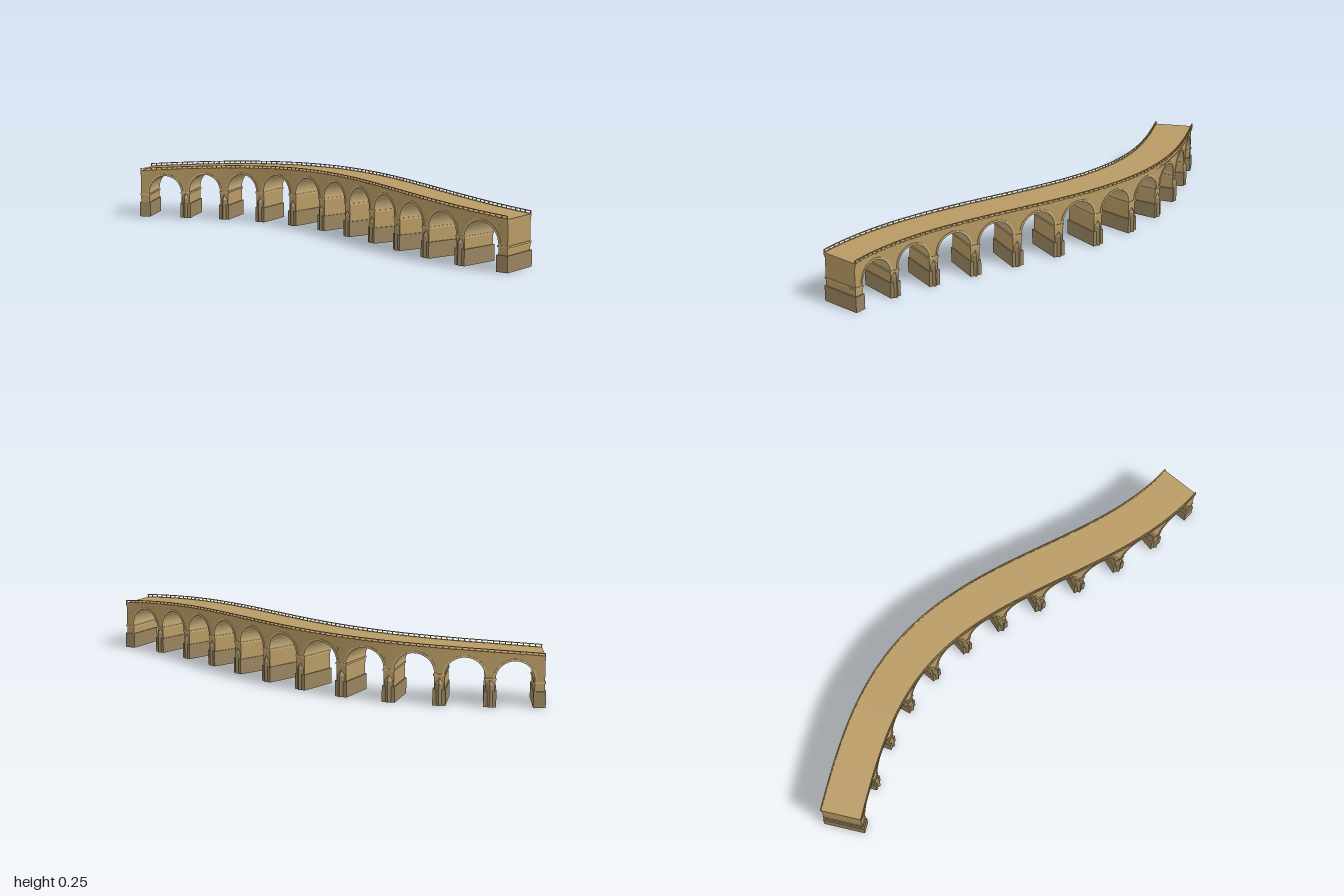
import * as THREE from 'three';
import { mergeGeometries } from 'three/addons/utils/BufferGeometryUtils.js';
import { ConvexGeometry } from 'three/addons/geometries/ConvexGeometry.js';

const stone = new THREE.MeshStandardMaterial({ name: 'sandstone', color: 0xb89a64 });
const pale = new THREE.MeshStandardMaterial({ name: 'paleStone', color: 0xc8ae7a });
const dark = new THREE.MeshStandardMaterial({ name: 'footingStone', color: 0x98845f });

// Winding centre line of the viaduct
const path = new THREE.CatmullRomCurve3(Array.from({ length: 41 }, (_, i) => {
  const x = -0.966 + (1.962 * i) / 40;
  return new THREE.Vector3(x, 0, -0.195 * Math.cos((Math.PI * (x + 0.31)) / 1.335));
}));
path.arcLengthDivisions = 800;
const LENGTH = path.getLength();
const BAYS = 11;
const PIER = 0.019; // half thickness of a pier
const FOOT = 0.0235; // half thickness of a footing
const PITCH = (LENGTH - 2 * FOOT) / BAYS;
const RADIUS = PITCH / 2 - PIER;
const START = FOOT - PIER, END = LENGTH - START;
const WALL = 0.078; // half width of the walls

// Distance along the path, height, sideways offset -> position
function place(s, y, o) {
  const u = THREE.MathUtils.clamp(s / LENGTH, 0, 1);
  const p = path.getPointAt(u), t = path.getTangentAt(u);
  return new THREE.Vector3(p.x - t.z * o, y, p.z + t.x * o);
}

// Gently humped roadway height
function deckY(s) {
  const x = path.getPointAt(THREE.MathUtils.clamp(s / LENGTH, 0, 1)).x;
  return 0.236 - 0.041 * x * x;
}

// Solid strip through [sLow, yLow, sHigh, yHigh] sections, between two offsets
function loft(sections, o0, o1) {
  const pos = [];
  const quad = (a, b, c, d) => [a, b, c, a, c, d].forEach((v) => pos.push(v.x, v.y, v.z));
  const rows = sections.map(([sa, ya, sb, yb]) => ({
    a0: place(sa, ya, o0), a1: place(sa, ya, o1),
    b0: place(sb, yb, o0), b1: place(sb, yb, o1),
  }));
  for (let i = 0; i < rows.length - 1; i++) {
    const p = rows[i], q = rows[i + 1];
    quad(p.a1, q.a1, q.b1, p.b1);
    quad(q.a0, p.a0, p.b0, q.b0);
    quad(p.b1, q.b1, q.b0, p.b0);
    quad(p.a0, q.a0, q.a1, p.a1);
  }
  const f = rows[0], l = rows[rows.length - 1];
  quad(f.a0, f.a1, f.b1, f.b0);
  quad(l.a1, l.a0, l.b0, l.b1);
  const g = new THREE.BufferGeometry();
  g.setAttribute('position', new THREE.Float32BufferAttribute(pos, 3));
  g.computeVertexNormals();
  return g;
}

// Block standing on the path
const block = (s, half, y0, y1, o0, o1) =>
  loft([[s - half, y0, s - half, y1], [s + half, y0, s + half, y1]], o0, o1);

// Band following the roadway over its whole length
function band(low, high, o0, o1, n = 110) {
  const rows = [];
  for (let i = 0; i <= n; i++) {
    const s = START + ((END - START) * i) / n, y = deckY(s);
    rows.push([s, y + low, s, y + high]);
  }
  return loft(rows, o0, o1);
}

export function createModel() {
  const model = new THREE.Group();
  model.name = 'viaduct';
  const add = (name, geometries, material) => {
    const mesh = new THREE.Mesh(mergeGeometries(geometries), material);
    mesh.name = name;
    model.add(mesh);
  };

  // Piers, footings, imposts and cutwaters
  const piers = [], footings = [], imposts = [], cutwaters = [];
  for (let i = 0; i <= BAYS; i++) {
    const s = FOOT + i * PITCH, y = deckY(s), spring = y - 0.1;
    piers.push(block(s, PIER, 0.06, y - 0.012, -WALL, WALL));
    footings.push(block(s, FOOT, 0, 0.0625, -0.083, 0.083));
    imposts.push(block(s, PIER + 0.003, spring - 0.007, spring, -0.081, 0.081));
    if (i === 0 || i === BAYS) continue;
    for (const side of [-1, 1]) {
      const points = [place(s, 0.107, side * (WALL - 0.001))];
      for (const y0 of [0, 0.085]) {
        points.push(place(s - 0.017, y0, side * (WALL - 0.001)),
          place(s + 0.017, y0, side * (WALL - 0.001)), place(s, y0, side * 0.091));
      }
      cutwaters.push(new ConvexGeometry(points));
    }
  }
  add('piers', piers, stone);
  add('footings', footings, dark);
  add('imposts', imposts, pale);
  add('cutwaters', cutwaters, dark);

  // Arch barrels with the spandrel walls above them
  const arches = [], spandrels = [];
  const SEGMENTS = 20;
  for (let i = 0; i < BAYS; i++) {
    const mid = FOOT + (i + 0.5) * PITCH, spring = deckY(mid) - 0.1;
    const ring = [], fill = [];
    for (let k = 0; k <= SEGMENTS; k++) {
      const a = Math.PI * (1 - k / SEGMENTS), c = Math.cos(a), h = Math.sin(a);
      const out = RADIUS + 0.008, inner = RADIUS + 0.004;
      ring.push([mid + RADIUS * c, spring + RADIUS * h, mid + out * c, spring + out * h]);
      const s = mid + inner * c;
      fill.push([s, spring + inner * h, s, deckY(s) - 0.012]);
    }
    arches.push(loft(ring, -0.0805, 0.0805));
    spandrels.push(loft(fill, -WALL, WALL));
  }
  add('archRings', arches, pale);
  add('spandrelWalls', spandrels, stone);

  // Roadway slab with a stepped cornice
  add('roadway', [band(-0.01, 0, -0.083, 0.083)], stone);
  add('cornice', [band(-0.017, -0.01, -0.0805, 0.0805)], stone);

  // Railings on both edges
  const rails = [], balusters = [];
  const COUNT = BAYS * 8;
  for (const side of [-1, 1]) {
    const o = side * 0.0805;
    rails.push(band(0.0095, 0.0125, o - 0.002, o + 0.002), band(0, 0.002, o - 0.002, o + 0.002));
    for (let i = 0; i <= COUNT; i++) {
      const s = START + 0.002 + ((END - START - 0.004) * i) / COUNT, y = deckY(s);
      balusters.push(block(s, 0.0018, y, y + 0.01, o - 0.0015, o + 0.0015));
    }
  }
  add('handrails', rails, stone);
  add('balusters', balusters, stone);
  return model;
}
